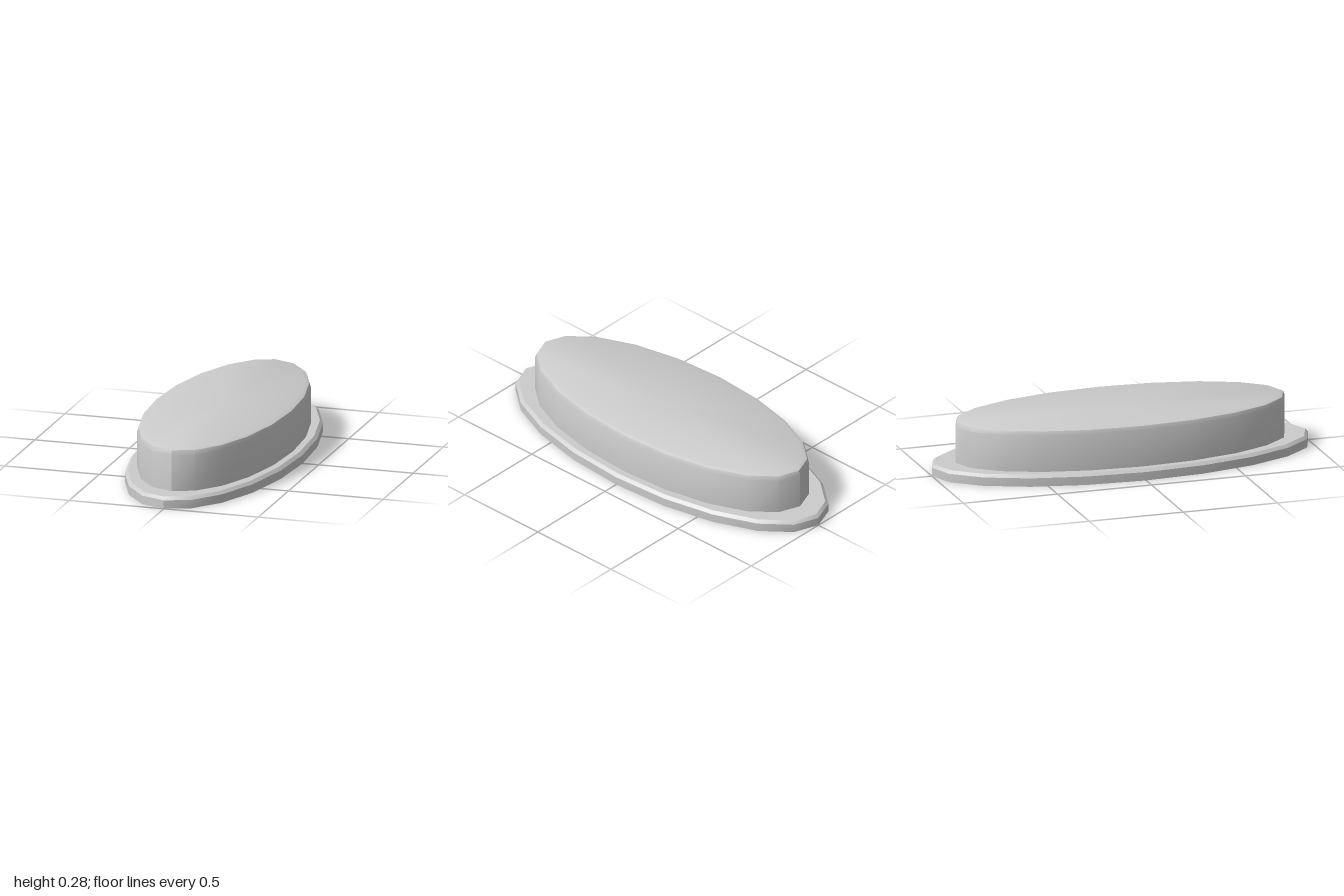
import * as THREE from 'three';
import { toCreasedNormals } from 'three/addons/utils/BufferGeometryUtils.js';

const SIDES = 20;

// Closed elliptical plate: rings are [inset, y] pairs from bottom to top.
function ellipticalPlate(name, rx, rz, rings, material) {
  const positions = [];
  const index = [];
  for (const [inset, y] of rings) {
    for (let i = 0; i < SIDES; i++) {
      const t = (i / SIDES) * Math.PI * 2;
      // Inset along the ellipse normal so the bevel keeps an even width
      const n = new THREE.Vector2(rz * Math.sin(t), rx * Math.cos(t)).normalize();
      positions.push(rx * Math.sin(t) - inset * n.x, y, rz * Math.cos(t) - inset * n.y);
    }
  }
  const last = rings.length - 1;
  const bottom = rings.length * SIDES;
  const top = bottom + 1;
  positions.push(0, rings[0][1], 0, 0, rings[last][1], 0);

  for (let i = 0; i < SIDES; i++) {
    const j = (i + 1) % SIDES;
    for (let r = 0; r < last; r++) {
      const a = r * SIDES + i, b = r * SIDES + j;
      index.push(a, b, b + SIDES, a, b + SIDES, a + SIDES);
    }
    index.push(bottom, j, i);
    index.push(top, last * SIDES + i, last * SIDES + j);
  }

  const geometry = new THREE.BufferGeometry();
  geometry.setAttribute('position', new THREE.Float32BufferAttribute(positions, 3));
  geometry.setIndex(index);
  const mesh = new THREE.Mesh(toCreasedNormals(geometry, THREE.MathUtils.degToRad(35)), material);
  mesh.name = name;
  return mesh;
}

export function createModel() {
  const group = new THREE.Group();
  group.name = 'ovalButton';
  const grey = new THREE.MeshStandardMaterial({ color: 0xcccccc });

  // Wide flange with a small chamfer on its upper rim
  group.add(ellipticalPlate('baseFlange', 0.416, 1, [[0, 0], [0, 0.044], [0.016, 0.059]], grey));

  // Raised body with a two-step rounded top edge
  group.add(ellipticalPlate('raisedBody', 0.365, 0.875,
    [[0, 0.05], [0, 0.249], [0.008, 0.27], [0.028, 0.278]], grey));

  return group;
}
